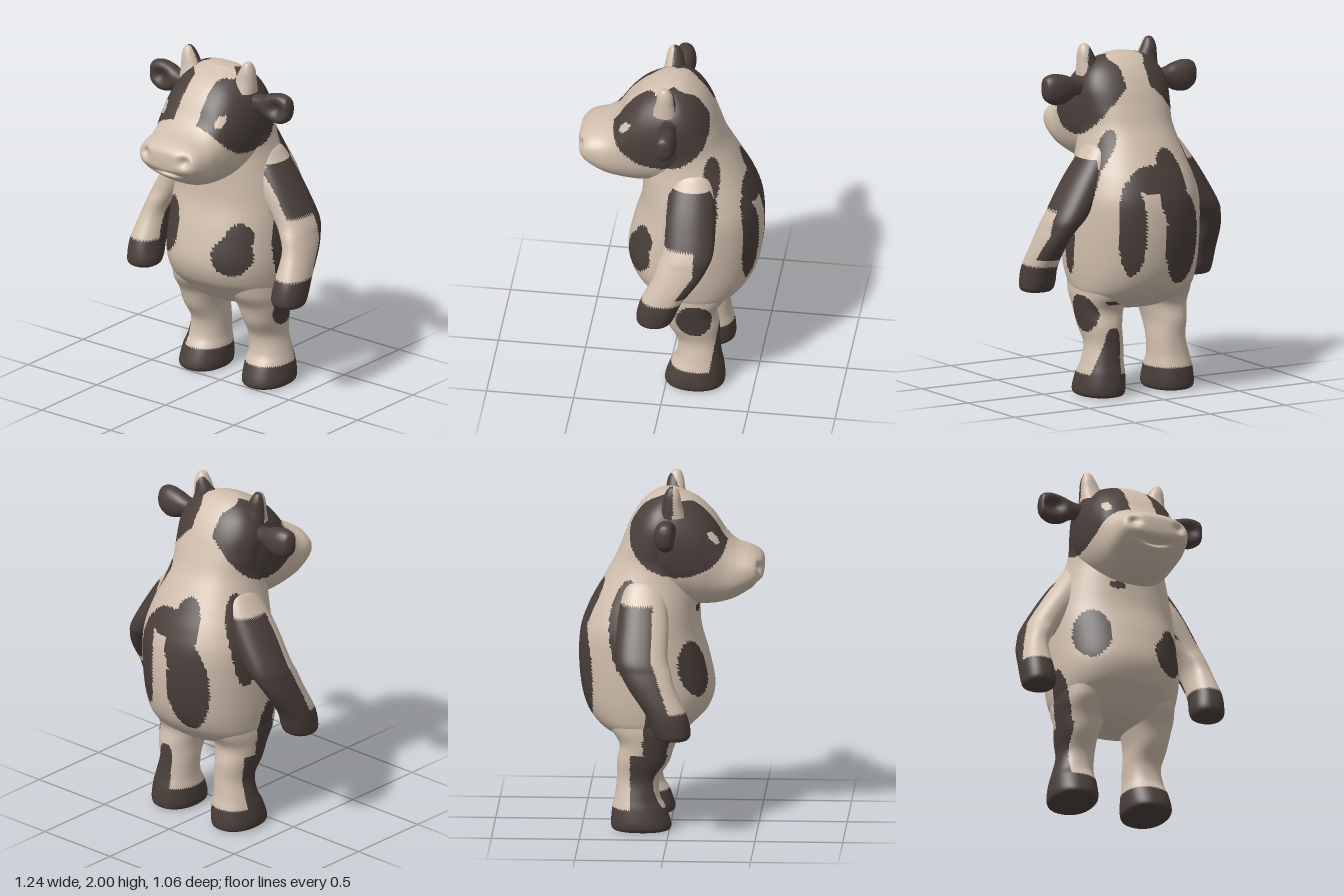
import * as THREE from 'three';

const light = new THREE.MeshStandardMaterial({ color: 0xd1bfae });
light.name = 'creamHide';
const dark = new THREE.MeshStandardMaterial({ color: 0x4a3f3b });
dark.name = 'darkBrownHide';

const cubic = (a, b, c, d, t) =>
  b + 0.5 * t * (c - a + t * (2 * a - 5 * b + 4 * c - d + t * (3 * (b - c) + d - a)));
const clamp = (v, a, b) => Math.min(Math.max(v, Math.min(a, b)), Math.max(a, b));
const bell = (d, r) => Math.exp(-(d * d) / (r * r));

// Smooth skin through sections [t, aMin, aMax, bMin, bMax] along one axis.
// Triangles are sorted into the light and dark hide by the isDark rule.
function loft(name, axis, rows, { sub = 8, sides = 72, power = 2.2, bend = null, isDark = () => false }) {
  const pos = [], rings = (rows.length - 1) * sub + 1;
  const row = i => rows[clamp(i, 0, rows.length - 1)];
  const p = new THREE.Vector3();
  for (let i = 0; i < rings; i++) {
    const k = Math.min(Math.floor(i / sub), rows.length - 2), f = i / sub - k;
    const v = row(k).map((_, c) => cubic(row(k - 1)[c], row(k)[c], row(k + 1)[c], row(k + 2)[c], f));
    v[0] = clamp(v[0], row(k)[0], row(k + 1)[0]);
    for (let j = 0; j < sides; j++) {
      const th = (j / sides) * Math.PI * 2, c = Math.cos(th), s = Math.sin(th);
      const a = (v[1] + v[2]) / 2 + (v[2] - v[1]) / 2 * Math.sign(c) * Math.abs(c) ** (2 / power);
      const b = (v[3] + v[4]) / 2 + (v[4] - v[3]) / 2 * Math.sign(s) * Math.abs(s) ** (2 / power);
      if (axis === 'y') p.set(a, v[0], b);
      else if (axis === 'z') p.set(a, b, v[0]);
      else p.set(v[0], a, b);
      if (bend) bend(p);
      pos.push(p.x, p.y, p.z);
    }
  }
  const lists = [[], []];
  const face = (...ids) => {
    p.set(0, 0, 0);
    for (const id of ids) { p.x += pos[id * 3] / 3; p.y += pos[id * 3 + 1] / 3; p.z += pos[id * 3 + 2] / 3; }
    lists[isDark(p) ? 1 : 0].push(...ids);
  };
  for (let i = 0; i < rings - 1; i++) for (let j = 0; j < sides; j++) {
    const a = i * sides + j, b = i * sides + (j + 1) % sides;
    face(a, b, a + sides);
    face(b, b + sides, a + sides);
  }
  const geo = new THREE.BufferGeometry();
  geo.setAttribute('position', new THREE.Float32BufferAttribute(pos, 3));
  geo.setIndex(lists[0].concat(lists[1]));
  geo.addGroup(0, lists[0].length, 0);
  geo.addGroup(lists[0].length, lists[1].length, 1);
  geo.computeVertexNormals();
  const mesh = new THREE.Mesh(geo, [light, dark]);
  mesh.name = name;
  return mesh;
}

// Patches are ellipsoids [cx, cy, cz, rx, ry, rz]
const inPatch = (p, list) => list.some(([x, y, z, a, b, c]) =>
  ((p.x - x) / a) ** 2 + ((p.y - y) / b) ** 2 + ((p.z - z) / c) ** 2 < 1);

const bodyPatches = [
  [-0.245, 0.95, 0.2, 0.1, 0.165, 0.25],   // belly
  [0.225, 0.86, 0.2, 0.11, 0.12, 0.2],
  [0.255, 0.97, 0.2, 0.075, 0.085, 0.2],
  [-0.09, 1.27, 0.17, 0.05, 0.025, 0.1],   // throat
  [-0.13, 0.92, -0.5, 0.13, 0.27, 0.25],   // back
  [-0.07, 1.2, -0.45, 0.1, 0.25, 0.2],
  [0.19, 1.0, -0.48, 0.075, 0.28, 0.2],
  [0.05, 1.27, -0.47, 0.14, 0.08, 0.15],
  [0.29, 1.44, -0.26, 0.14, 0.14, 0.05],   // shoulders and flanks
  [0.34, 1.25, -0.24, 0.1, 0.16, 0.06],
  [-0.32, 1.2, -0.24, 0.13, 0.3, 0.1],
  [0.37, 0.9, -0.08, 0.06, 0.2, 0.06],
  [-0.36, 0.48, -0.06, 0.07, 0.3, 0.09],   // hips
  [0.36, 0.48, -0.17, 0.14, 0.11, 0.11],
];

// Eye patch on each side of the head, with a small light eye
function facePatch(p) {
  const x = Math.abs(p.x);
  if (p.z > 0.15 && Math.abs(x - 0.2) / 0.02 + Math.abs(p.y - 1.7) / 0.06 < 1.2
    && Math.abs(p.y - 1.7) < 0.033) return false;
  return x > 0.08 + 0.07 * bell(p.z - 0.05, 0.05)
    && ((p.z - 0.05) / 0.28) ** 2 + ((p.y - 1.71) / 0.23) ** 2 < 1;
}

const half = (t, w, b0, b1) => [t, -w, w, b0, b1];
const mirrorY = rows => rows.map(([t, a0, a1, b0, b1]) => [t, -a1, -a0, b0, b1]);
const mirrorX = rows => rows.map(([t, ...r]) => [-t, ...r]).reverse();

const torsoRows = [
  half(1.94, 0, 0, 0), half(1.935, 0.08, -0.06, 0.04), half(1.91, 0.16, -0.11, 0.07),
  half(1.85, 0.23, -0.175, 0.11), half(1.76, 0.272, -0.23, 0.15), half(1.65, 0.275, -0.275, 0.17),
  half(1.55, 0.268, -0.315, 0.17), half(1.45, 0.285, -0.37, 0.165), half(1.35, 0.315, -0.425, 0.165),
  half(1.25, 0.345, -0.475, 0.165), half(1.13, 0.368, -0.515, 0.175), half(0.97, 0.375, -0.525, 0.22),
  half(0.8, 0.375, -0.51, 0.25), half(0.68, 0.365, -0.475, 0.215), half(0.6, 0.345, -0.42, 0.14),
  half(0.55, 0.29, -0.36, 0.09), half(0.51, 0.2, -0.29, 0.03), half(0.49, 0.08, -0.2, -0.05),
  half(0.488, 0, -0.12, -0.12),
];
const headRows = [
  half(-0.2, 0, 1.65, 1.65), half(-0.19, 0.18, 1.5, 1.78), half(-0.1, 0.255, 1.4, 1.9),
  half(0, 0.285, 1.31, 1.94), half(0.14, 0.272, 1.285, 1.89), half(0.24, 0.25, 1.285, 1.8),
  half(0.31, 0.235, 1.3, 1.695), half(0.375, 0.228, 1.325, 1.635), half(0.455, 0.212, 1.375, 1.605),
  half(0.5, 0.185, 1.415, 1.58), half(0.525, 0.13, 1.45, 1.55), half(0.53, 0, 1.5, 1.5),
];
const armRows = [
  [1.46, 0.23, 0.23, -0.15, -0.15], [1.45, 0.18, 0.28, -0.22, -0.08], [1.39, 0.15, 0.33, -0.265, -0.03],
  [1.24, 0.2, 0.435, -0.29, 0], [1.06, 0.33, 0.54, -0.295, 0], [0.98, 0.395, 0.568, -0.27, 0.02],
  [0.89, 0.433, 0.592, -0.22, 0.045], [0.75, 0.435, 0.618, -0.125, 0.11], [0.65, 0.428, 0.62, -0.085, 0.135],
  [0.605, 0.44, 0.61, -0.055, 0.125], [0.592, 0.48, 0.57, 0, 0.08], [0.592, 0.525, 0.525, 0.04, 0.04],
];
const legRows = [
  [0.75, 0.2, 0.2, -0.12, -0.12], [0.72, 0.05, 0.33, -0.35, 0.1], [0.6, 0.05, 0.353, -0.34, 0.1],
  [0.5, 0.075, 0.345, -0.285, 0.035], [0.4, 0.1, 0.33, -0.298, 0], [0.3, 0.102, 0.313, -0.3, -0.055],
  [0.2, 0.102, 0.335, -0.31, -0.055], [0.13, 0.093, 0.355, -0.325, -0.02], [0.04, 0.09, 0.367, -0.332, 0.01],
  [0.005, 0.105, 0.35, -0.318, 0], [0, 0.15, 0.3, -0.26, -0.05], [0, 0.225, 0.225, -0.16, -0.16],
];
const earRows = [
  [0.2, 1.71, 1.8, -0.05, 0.04], [0.3, 1.71, 1.812, -0.06, 0.04], [0.36, 1.678, 1.835, -0.073, 0.048],
  [0.43, 1.668, 1.848, -0.077, 0.052], [0.485, 1.695, 1.835, -0.06, 0.04], [0.503, 1.73, 1.8, -0.03, 0.015],
  [0.506, 1.765, 1.765, -0.01, -0.01],
];
const hornRows = [
  [2.0, 0.215, 0.215, 0.018, 0.018], [1.992, 0.193, 0.237, -0.006, 0.042], [1.95, 0.168, 0.253, -0.03, 0.06],
  [1.89, 0.138, 0.258, -0.042, 0.07], [1.82, 0.11, 0.26, -0.06, 0.09],
];

// Nostril hollows and mouth crease
function shapeMuzzle(p) {
  if (p.z < 0.38) return;
  const nostril = bell(Math.hypot(Math.abs(p.x) - 0.14, p.y - 1.515), 0.032);
  const mouth = bell(p.y - 1.41 - p.x * p.x, 0.014) * bell(p.x, 0.085);
  p.z -= 0.035 * nostril + 0.035 * mouth;
}

// Hollow in the front of each ear
function shapeEar(p) {
  if (p.z > -0.01) p.z -= 0.05 * bell(Math.hypot((Math.abs(p.x) - 0.42) * 0.8, p.y - 1.76), 0.045);
}

function armDark(p) {
  if (p.y < 0.76) return true;
  if (p.x > 0) {
    const shoulder = p.y > 1.09 && p.y < 1.38 && p.x > 0.3 && p.z < -0.015;
    const rear = p.y > 0.8 && p.y < 1.15 && p.z < -0.19 + Math.max(0, 0.95 - p.y) * 0.65;
    return shoulder || rear;
  }
  return p.y < 1.33 && p.z < -0.09 + Math.max(0, 1.05 - p.y) * 0.35;
}

function legDark(p) {
  if (p.y < 0.135 || inPatch(p, bodyPatches)) return true;
  if (p.x > 0) return p.y < 0.56 && p.x > 0.17 && p.z < -0.3 + Math.max(0, 0.42 - p.y) * 0.16;
  return p.x < -0.285 && p.y < 0.45 && p.z > -0.22 && p.z < 0.02;
}

export function createModel() {
  const cow = new THREE.Group();
  cow.name = 'standingCow';
  cow.add(loft('torso', 'y', torsoRows, {
    sides: 120, isDark: p => facePatch(p) || inPatch(p, bodyPatches),
  }));
  cow.add(loft('head', 'z', headRows, {
    sub: 10, sides: 128, power: 2.35, bend: shapeMuzzle, isDark: facePatch,
  }));
  for (const left of [true, false]) {
    const side = left ? 'left' : 'right';
    const upright = rows => (left ? rows : mirrorY(rows));
    cow.add(loft(side + 'Arm', 'y', upright(armRows), { isDark: armDark }));
    cow.add(loft(side + 'Leg', 'y', upright(legRows), { isDark: legDark }));
    cow.add(loft(side + 'Ear', 'x', left ? earRows : mirrorX(earRows), {
      sides: 40, bend: shapeEar, isDark: () => true,
    }));
    cow.add(loft(side + 'Horn', 'y', upright(hornRows), {
      sides: 32, isDark: p => (left ? p.z + p.x - 0.2 < -0.015 : p.z < 0.02),
    }));
  }
  return cow;
}
